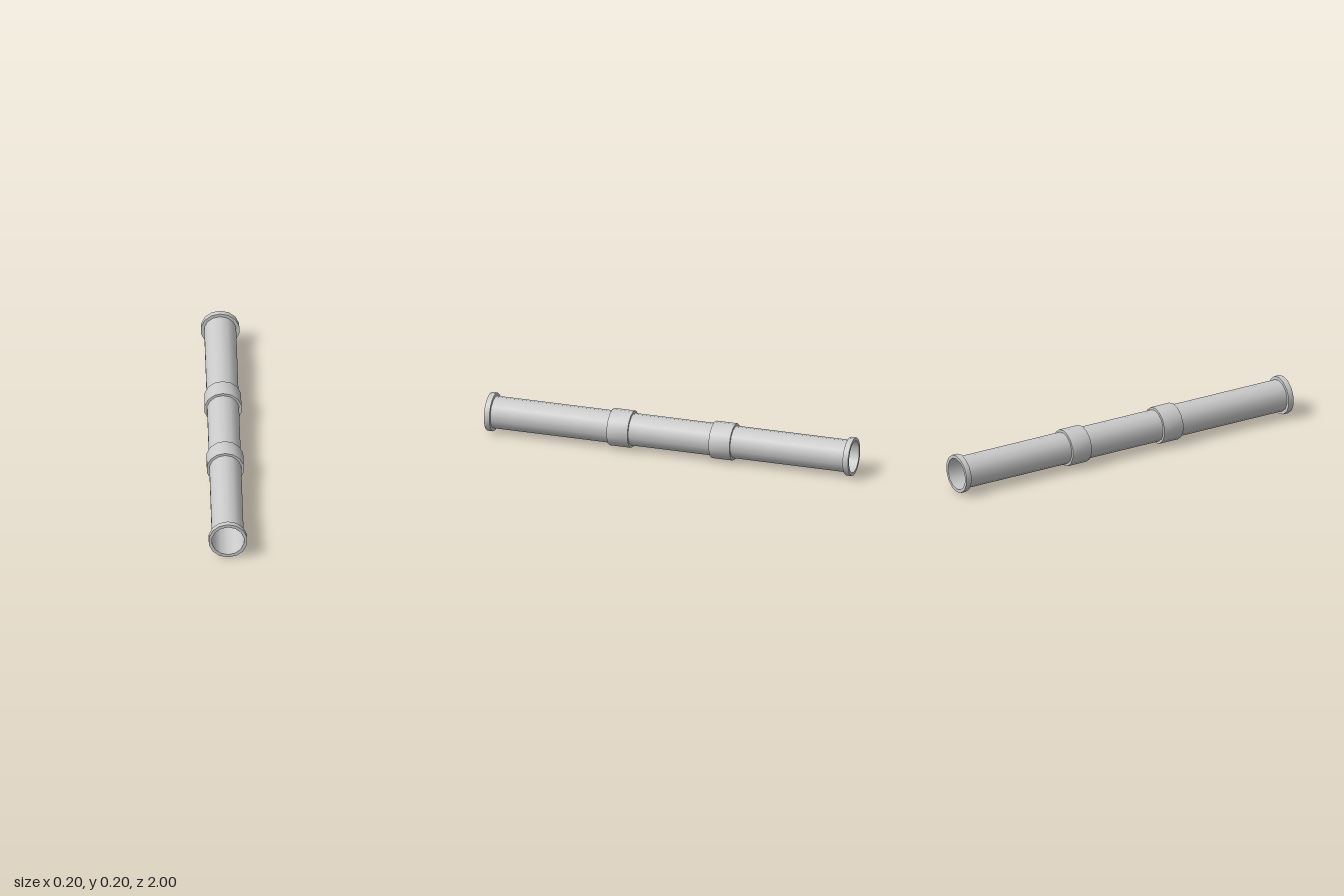
import * as THREE from 'three';
import { toCreasedNormals } from 'three/addons/utils/BufferGeometryUtils.js';

const SIDES = 14;
const PIPE_R = 0.085, FLANGE_R = 0.102, COLLAR_R = 0.098;

export function createModel() {
  const group = new THREE.Group();
  group.name = 'pipe';
  const material = new THREE.MeshStandardMaterial({ color: 0xcccccc, side: THREE.DoubleSide });

  // Revolves [radius, z] points around the pipe's long axis
  function addTurned(name, profile, creased) {
    let geometry = new THREE.LatheGeometry(profile.map(([r, z]) => new THREE.Vector2(r, z)), SIDES);
    geometry.rotateX(Math.PI / 2);
    if (creased) geometry = toCreasedNormals(geometry, Math.PI / 5);
    const mesh = new THREE.Mesh(geometry, material);
    mesh.name = name;
    mesh.position.y = FLANGE_R;
    group.add(mesh);
  }

  // Rectangular band standing out from the pipe wall
  const band = (r, z0, z1) => [[PIPE_R, z0], [r, z0], [r, z1], [PIPE_R, z1]];

  // Thin hollow tube, open at both ends
  addTurned('tube', [[PIPE_R, -1], [PIPE_R, 1]], false);

  // End flanges
  addTurned('frontFlange', band(FLANGE_R, 0.97, 1), true);
  addTurned('backFlange', band(FLANGE_R, -1, -0.97), true);

  // Joint collars
  addTurned('frontCollar', band(COLLAR_R, 0.213, 0.328), true);
  addTurned('backCollar', band(COLLAR_R, -0.347, -0.232), true);

  return group;
}
